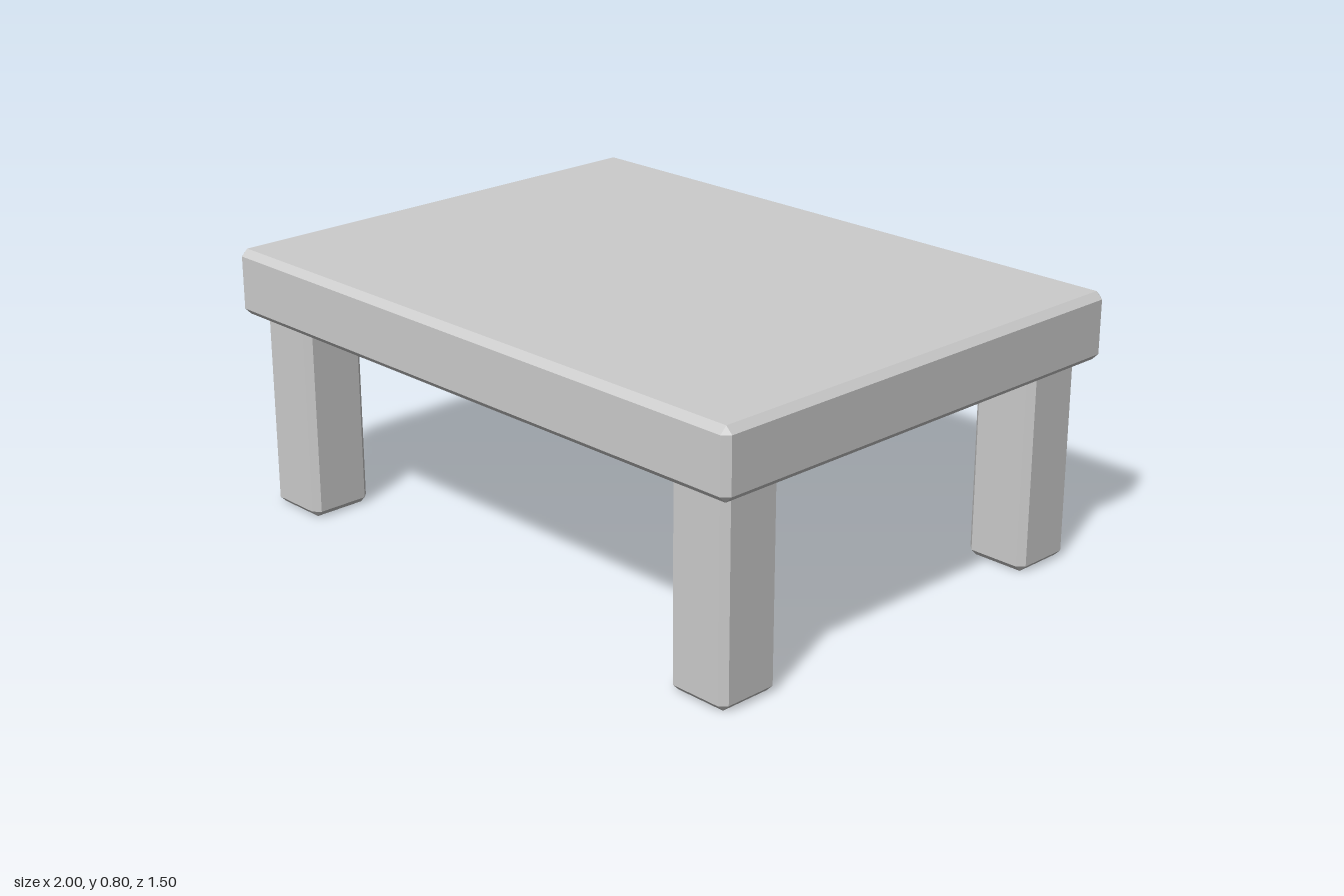
import * as THREE from 'three';
import { ConvexGeometry } from 'three/addons/geometries/ConvexGeometry.js';

const BEVEL = 0.02;
const material = new THREE.MeshStandardMaterial({ color: 0xcccccc, flatShading: true });

// Box with a flat chamfer on every edge: each corner splits into three points.
function chamferedBox(width, height, depth, c = BEVEL) {
  const points = [];
  for (const sx of [-1, 1]) for (const sy of [-1, 1]) for (const sz of [-1, 1]) {
    const x = width / 2, y = height / 2, z = depth / 2;
    points.push(
      new THREE.Vector3(sx * x, sy * (y - c), sz * (z - c)),
      new THREE.Vector3(sx * (x - c), sy * y, sz * (z - c)),
      new THREE.Vector3(sx * (x - c), sy * (y - c), sz * z)
    );
  }
  return new ConvexGeometry(points);
}

function addPart(group, name, geometry, x, y, z) {
  const mesh = new THREE.Mesh(geometry, material);
  mesh.name = name;
  mesh.position.set(x, y, z);
  group.add(mesh);
}

export function createModel() {
  const table = new THREE.Group();
  table.name = 'table';

  // Thick slab top
  addPart(table, 'tableTop', chamferedBox(2, 0.2, 1.5), 0, 0.7, 0);

  // Four square legs; their upper bevels are sunk into the top
  const legHeight = 0.6 + BEVEL;
  const legGeometry = chamferedBox(0.2, legHeight, 0.2);
  for (const [side, x] of [['Left', 0.85], ['Right', -0.85]]) {
    for (const [end, z] of [['front', 0.6], ['back', -0.6]]) {
      addPart(table, `${end}${side}Leg`, legGeometry, x, legHeight / 2, z);
    }
  }
  return table;
}
